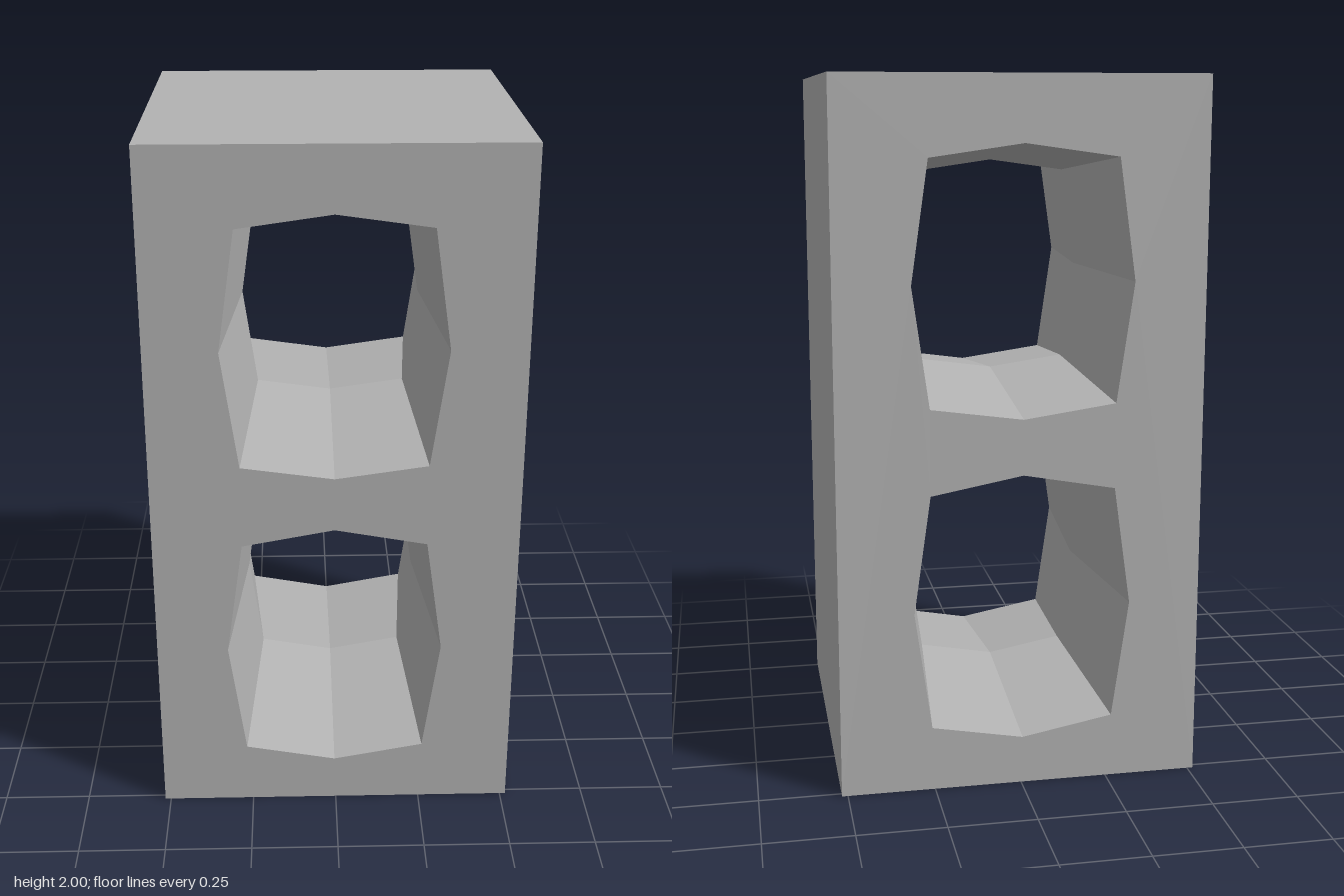
import * as THREE from 'three';

const HALF = 0.517; // half width and half depth of the block
const HEIGHT = 2;
const WAIST = 0.841; // hole size at mid depth relative to its mouth

// Eight-sided holes: centre, half height at the middle and at the corners
const HOLES = [
  { x: -0.004, y: 0.525, tall: 0.387, corner: 0.339 },
  { x: -0.004, y: 1.444, tall: 0.374, corner: 0.337 },
];

function holePath({ x, y, tall, corner }) {
  const points = [
    [0.309, 0], [0.261, corner], [0, tall], [-0.261, corner],
    [-0.309, 0], [-0.261, -corner], [0, -tall], [0.261, -corner],
  ];
  return new THREE.Path(points.map(([px, py]) => new THREE.Vector2(x + px, y + py)));
}

export function createModel() {
  const concrete = new THREE.MeshStandardMaterial({ color: 0xb2b2b2, flatShading: true });
  concrete.name = 'concrete grey';

  // Block outline with two holes, extruded in two steps front to back
  const outline = new THREE.Shape([
    new THREE.Vector2(-HALF, 0), new THREE.Vector2(HALF, 0),
    new THREE.Vector2(HALF, HEIGHT), new THREE.Vector2(-HALF, HEIGHT),
  ]);
  outline.holes = HOLES.map(holePath);
  const geometry = new THREE.ExtrudeGeometry(outline, { depth: 2 * HALF, steps: 2, bevelEnabled: false });
  geometry.translate(0, 0, -HALF);

  // Pinch the holes at mid depth so they flare towards both faces
  const pos = geometry.attributes.position;
  for (let i = 0; i < pos.count; i++) {
    const x = pos.getX(i), y = pos.getY(i);
    if (Math.abs(pos.getZ(i)) > 0.01 || Math.abs(x) > HALF - 0.01) continue;
    const hole = HOLES[y < 1 ? 0 : 1];
    pos.setX(i, hole.x + (x - hole.x) * WAIST);
    pos.setY(i, hole.y + (y - hole.y) * WAIST);
  }
  geometry.computeVertexNormals();

  const block = new THREE.Mesh(geometry, concrete);
  block.name = 'hollowBlock';
  const model = new THREE.Group();
  model.name = 'cinderBlock';
  model.add(block);
  return model;
}
